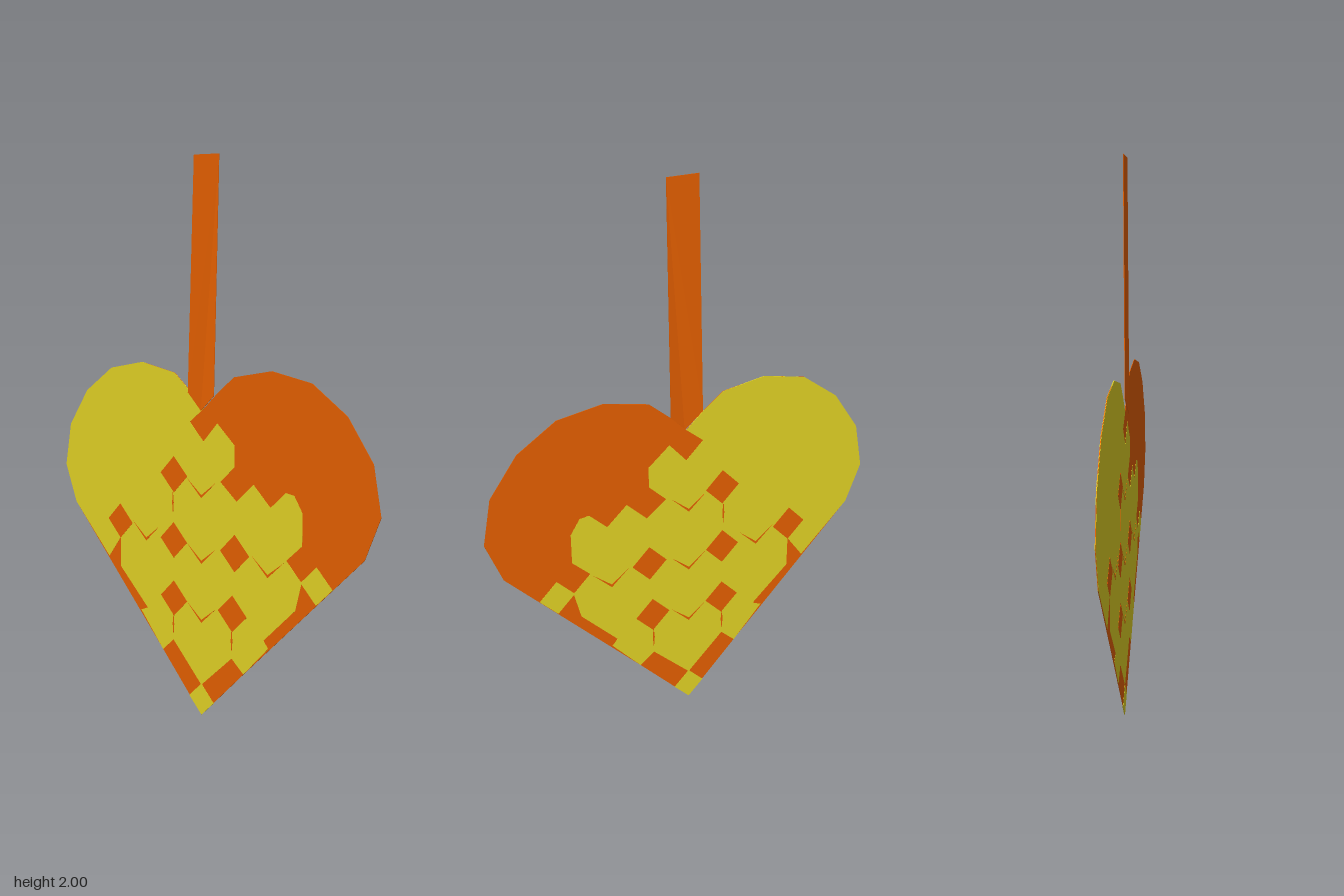
import * as THREE from 'three';

const orange = new THREE.MeshStandardMaterial({ color: 0xe86100, side: THREE.DoubleSide });
const yellow = new THREE.MeshStandardMaterial({ color: 0xe5d526, side: THREE.DoubleSide });

const sheetX = 0.004;

// Thin paper piece in the plane x = sheetX; points are (-z, y)
function paper(name, points, thickness, material) {
  const shape = new THREE.Shape(points.map(([a, y]) => new THREE.Vector2(a, y)));
  const geometry = new THREE.ExtrudeGeometry(shape, { depth: thickness, bevelEnabled: false });
  geometry.translate(0, 0, -thickness / 2);
  geometry.rotateY(Math.PI / 2);
  geometry.translate(sheetX, 0, 0);
  const mesh = new THREE.Mesh(geometry, material);
  mesh.name = name;
  return mesh;
}

const diamond = (a, y, w, h = w) => [[a, y - h], [a + w, y], [a, y + h], [a - w, y]];

// Narrow V-shaped gap between two woven strips
const gap = (a, y) => [[a, y], [a + 0.07, y + 0.065], [a, y + 0.011], [a - 0.07, y + 0.065]];

export function createModel() {
  const group = new THREE.Group();
  group.name = 'wovenPaperHeart';

  // One lobe from the notch outwards
  const lobe = [
    [0.065, 1.19], [0.14, 1.25], [0.305, 1.28], [0.47, 1.25], [0.61, 1.155],
    [0.71, 1.015], [0.742, 0.85], [0.685, 0.705],
  ];
  const mirrored = lobe.map(([a, y]) => [-a, y]).reverse();

  // Whole heart
  group.add(paper('heartBase', [[0, 1.13], ...lobe, [0.205, 0.205], [0.01, 0], [-0.19, 0.205], ...mirrored], 0.002, orange));

  // Second half with its strips woven across
  group.add(paper('wovenHalf', [
    [0, 1.13], ...lobe, [0.495, 0.515], [0.43, 0.6], [0.43, 0.485], [0.285, 0.35],
    [0.32, 0.335], [0.205, 0.205], [0.15, 0.255], [0.01, 0.115], [-0.135, 0.25],
    [-0.19, 0.205], [-0.3, 0.325], [-0.28, 0.35], [-0.415, 0.485], [-0.44, 0.585],
    [-0.375, 0.65], [-0.44, 0.71], [-0.44, 0.82], [-0.405, 0.875], [-0.37, 0.88],
    [-0.305, 0.82], [-0.23, 0.89], [-0.155, 0.82], [-0.08, 0.88], [-0.145, 0.94],
    [-0.145, 1.015], [-0.065, 1.085], [0, 1.015], [0.065, 1.08],
  ], 0.003, yellow));
  group.add(paper('bottomSquare', diamond(0.01, 0.06, 0.06), 0.003, yellow));
  group.add(paper('sideSquare', diamond(-0.5, 0.585, 0.065), 0.003, yellow));

  // Squares of the first half showing through the weave
  const squares = [
    [0.145, 0.88], [0.43, 0.665], [-0.147, 0.635], [0.147, 0.635], [-0.137, 0.415], [0.147, 0.415],
  ];
  for (const [a, y] of squares) group.add(paper('weaveSquare', diamond(a, y, 0.067), 0.004, orange));

  const gaps = [[0.01, 0.81], [-0.295, 0.575], [0.01, 0.57], [0.29, 0.61], [0.01, 0.35]];
  for (const [a, y] of gaps) group.add(paper('weaveGap', gap(a, y), 0.004, orange));

  // Slim upright slits where neighbouring strips meet
  const slits = [[0.15, 0.775], [0.15, 0.315], [-0.135, 0.315]];
  for (const [a, y] of slits) group.add(paper('weaveSlit', diamond(a, y, 0.004, 0.045), 0.004, orange));

  // Hanging strap, its lower end tucked behind the notch
  const strap = paper('strap', [
    [-0.07, 1.995], [-0.055, 1.18], [0, 1.125], [0.068, 1.185], [0.045, 2],
  ], 0.002, orange);
  const pos = strap.geometry.attributes.position;
  for (let i = 0; i < pos.count; i++) {
    const y = pos.getY(i);
    if (y < 1.5) pos.setX(i, pos.getX(i) - (y < 1.15 ? 0.014 : 0.008));
  }
  strap.geometry.computeVertexNormals();
  group.add(strap);

  return group;
}
